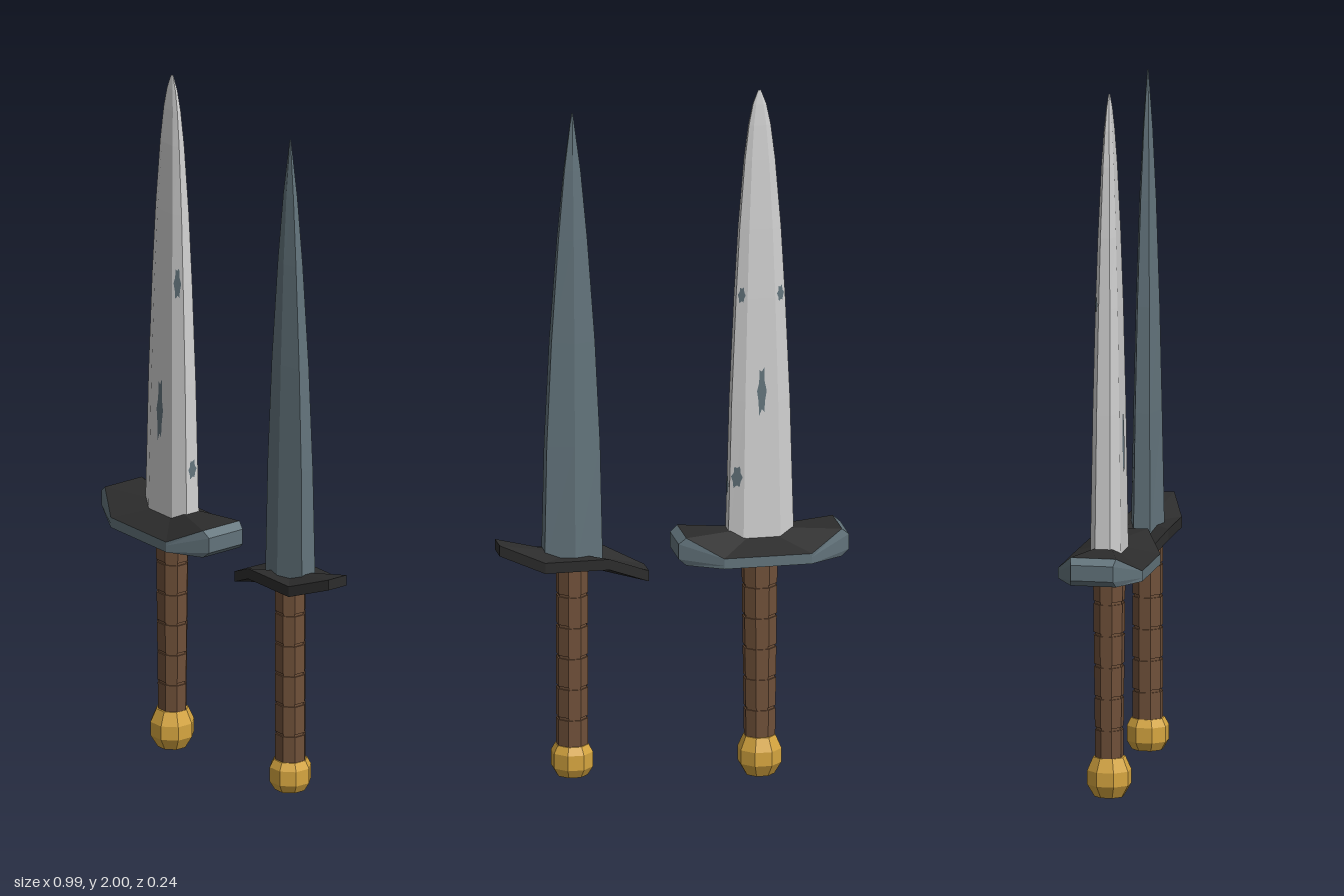
import * as THREE from 'three';

const mat = (name, color) => {
  const m = new THREE.MeshStandardMaterial({ color, flatShading: true });
  m.name = name;
  return m;
};

// Skin between rings of [x, y, z] listed anticlockwise from above; group 0 = sides, 1 = caps
function loft(rings, lowY, highY) {
  const pos = [], n = rings[0].length;
  for (let r = 0; r < rings.length - 1; r++) {
    for (let i = 0; i < n; i++) {
      const j = (i + 1) % n, a = rings[r], b = rings[r + 1];
      pos.push(...a[i], ...a[j], ...b[j], ...a[i], ...b[j], ...b[i]);
    }
  }
  const sides = pos.length / 3, low = rings[0], high = rings[rings.length - 1];
  for (let i = 0; i < n; i++) {
    const j = (i + 1) % n;
    pos.push(0, highY, 0, ...high[i], ...high[j], 0, lowY, 0, ...low[j], ...low[i]);
  }
  const g = new THREE.BufferGeometry();
  g.setAttribute('position', new THREE.Float32BufferAttribute(pos, 3));
  g.addGroup(0, sides, 0);
  g.addGroup(sides, pos.length / 3 - sides, 1);
  g.computeVertexNormals();
  return g;
}

// Blade rings: section scaled by [y, half width, half depth]
const bladeRings = (section, rows) =>
  rows.map(([y, w, d]) => section.map(([x, z]) => [x * w, y, z * d]));

export function createModel() {
  const steel = mat('pale steel', 0xd0d0d0);
  const slate = mat('slate metal', 0x62737b);
  const black = mat('black iron', 0x2c2c2c);
  const brown = mat('brown leather', 0x6f5039);
  const gold = mat('gold', 0xd6a640);

  const model = new THREE.Group();
  const add = (parent, name, geometry, material) => {
    const m = new THREE.Mesh(geometry, material);
    m.name = name;
    parent.add(m);
    return m;
  };
  const dagger = (name, x) => {
    const g = new THREE.Group();
    g.name = name;
    g.position.x = x;
    model.add(g);
    return g;
  };

  // Eight-sided grip wrapped in bands, with narrow grooves between them
  function grip(parent, y0, y1, rLow, rHigh, depth) {
    const g = new THREE.Group();
    g.name = 'grip';
    g.scale.z = depth;
    parent.add(g);
    const count = 6, step = (y1 - y0) / count, tilt = Math.PI / 8;
    const core = add(g, 'gripCore',
      new THREE.CylinderGeometry(rHigh - 0.004, rLow - 0.004, y1 - y0, 8, 1, false, tilt), brown);
    core.position.y = (y0 + y1) / 2;
    for (let i = 0; i < count; i++) {
      const r = (k) => THREE.MathUtils.lerp(rLow, rHigh, k / count);
      const band = add(g, 'gripBand',
        new THREE.CylinderGeometry(r(i + 1), r(i), step - 0.008, 8, 1, false, tilt), brown);
      band.position.y = y0 + (i + 0.5) * step;
    }
  }

  // Faceted pommel
  const pommel = (parent, profile) => add(parent, 'pommel',
    new THREE.LatheGeometry(profile.map(([r, y]) => new THREE.Vector2(r, y)), 8, Math.PI / 8), gold);

  // ---- Wide dagger, on the model's right ----
  const wide = dagger('wideDagger', -0.255);
  const octagon = [[1, 0.5], [1, -0.5], [0.58, -1], [-0.55, -1],
    [-1, -0.5], [-1, 0.5], [-0.55, 1], [0.58, 1]];
  const wideRows = [[0.68, 0.094, 0.044], [1.1, 0.083, 0.038], [1.4, 0.07, 0.032],
    [1.6, 0.059, 0.026], [1.8, 0.043, 0.018], [1.9, 0.031, 0.012],
    [1.96, 0.019, 0.007], [2, 0.004, 0.002]];
  const wideRings = bladeRings(octagon, wideRows);
  add(wide, 'wideBlade', loft(wideRings, 0.68, 2), [steel, steel]);

  // Point on a blade facet: t runs across the facet, lifted slightly outward
  function onFacet(face, t, y) {
    let r = 0;
    while (r < wideRows.length - 2 && wideRows[r + 1][0] < y) r++;
    const k = (y - wideRows[r][0]) / (wideRows[r + 1][0] - wideRows[r][0]);
    const corner = (i) => new THREE.Vector3(...wideRings[r][i])
      .lerp(new THREE.Vector3(...wideRings[r + 1][i]), k);
    const a = corner(face), b = corner((face + 1) % 8);
    const out = new THREE.Vector3(a.z - b.z, 0, b.x - a.x).normalize().multiplyScalar(-0.002);
    if (out.dot(a.clone().add(b)) < 0) out.negate();
    return a.lerp(b, t).add(out);
  }

  // Worn patches: ragged thin faces lying on the facets [facet, t, y, width in t, height]
  const ragged = [1, 0.7, 1.05, 0.75, 0.95, 0.65, 1, 0.8, 1.1, 0.7, 0.95, 0.75];
  const patches = [
    [6, 0.45, 1.01, 0.3, 0.2],
    [7, 0.5, 1.4, 0.7, 0.1],
    [0, 0.5, 0.85, 0.7, 0.06],
    [1, 0.5, 0.88, 0.8, 0.07],
    [1, 0.5, 1.41, 0.7, 0.05],
    [2, 0.5, 1.13, 0.3, 0.15],
    [3, 0.5, 1.41, 0.7, 0.05],
  ];
  for (const [face, t, y, w, h] of patches) {
    const outline = ragged.map((s, i) => {
      const a = (i / ragged.length) * Math.PI * 2;
      return new THREE.Vector2(t + Math.cos(a) * s * w / 2, y + Math.sin(a) * s * h / 2);
    });
    const g = new THREE.ShapeGeometry(new THREE.Shape(outline));
    const p = g.attributes.position;
    for (let i = 0; i < p.count; i++) p.setXYZ(i, ...onFacet(face, p.getX(i), p.getY(i)));
    g.computeVertexNormals();
    add(wide, 'wornPatch', g, slate);
  }

  // Wide guard: ends stay high, long sides slope down, black above and below
  const guardRing = (ex, ez, ey, my) => [
    [ex, ey, ez], [ex, ey, -ez], [0.125, my, -0.12], [-0.125, my, -0.12],
    [-ex, ey, -ez], [-ex, ey, ez], [-0.125, my, 0.12], [0.125, my, 0.12]];
  add(wide, 'wideGuard', loft([
    guardRing(0.222, 0.065, 0.64, 0.64),
    guardRing(0.243, 0.06, 0.658, 0.65),
    guardRing(0.243, 0.06, 0.702, 0.66),
    guardRing(0.222, 0.065, 0.72, 0.67),
  ], 0.64, 0.72), [slate, black]);
  grip(wide, 0.105, 0.645, 0.045, 0.052, 0.88);
  pommel(wide, [[0, 0], [0.042, 0], [0.063, 0.035], [0.063, 0.075], [0.046, 0.113], [0, 0.113]]);

  // ---- Narrow dagger, on the model's left ----
  const narrow = dagger('narrowDagger', 0.28);
  const hexagon = [[1, 0.5], [1, -0.5], [0, -1], [-1, -0.5], [-1, 0.5], [0, 1]];
  const narrowRows = [[0.65, 0.083, 0.048], [1, 0.076, 0.041], [1.3, 0.062, 0.034],
    [1.6, 0.041, 0.024], [1.8, 0.023, 0.014], [1.965, 0.002, 0.002]];
  add(narrow, 'narrowBlade', loft(bladeRings(hexagon, narrowRows), 0.65, 1.965), [slate, slate]);

  // Narrow guard: bent plate, one end swept down and the other up
  const plate = (lift) => [
    [0.213, 0.69 + lift, 0.032], [0.213, 0.69 + lift, -0.032],
    [0.092, 0.645 + lift, -0.078], [-0.092, 0.645 + lift, -0.078],
    [-0.213, 0.59 + lift, -0.032], [-0.213, 0.59 + lift, 0.032],
    [-0.092, 0.645 + lift, 0.078], [0.092, 0.645 + lift, 0.078]];
  add(narrow, 'narrowGuard', loft([plate(0), plate(0.031)], 0.645, 0.676), [black, black]);
  grip(narrow, 0.11, 0.65, 0.046, 0.046, 0.95);
  pommel(narrow, [[0, 0.03], [0.045, 0.03], [0.06, 0.055], [0.06, 0.098], [0.048, 0.12], [0, 0.12]]);

  return model;
}
